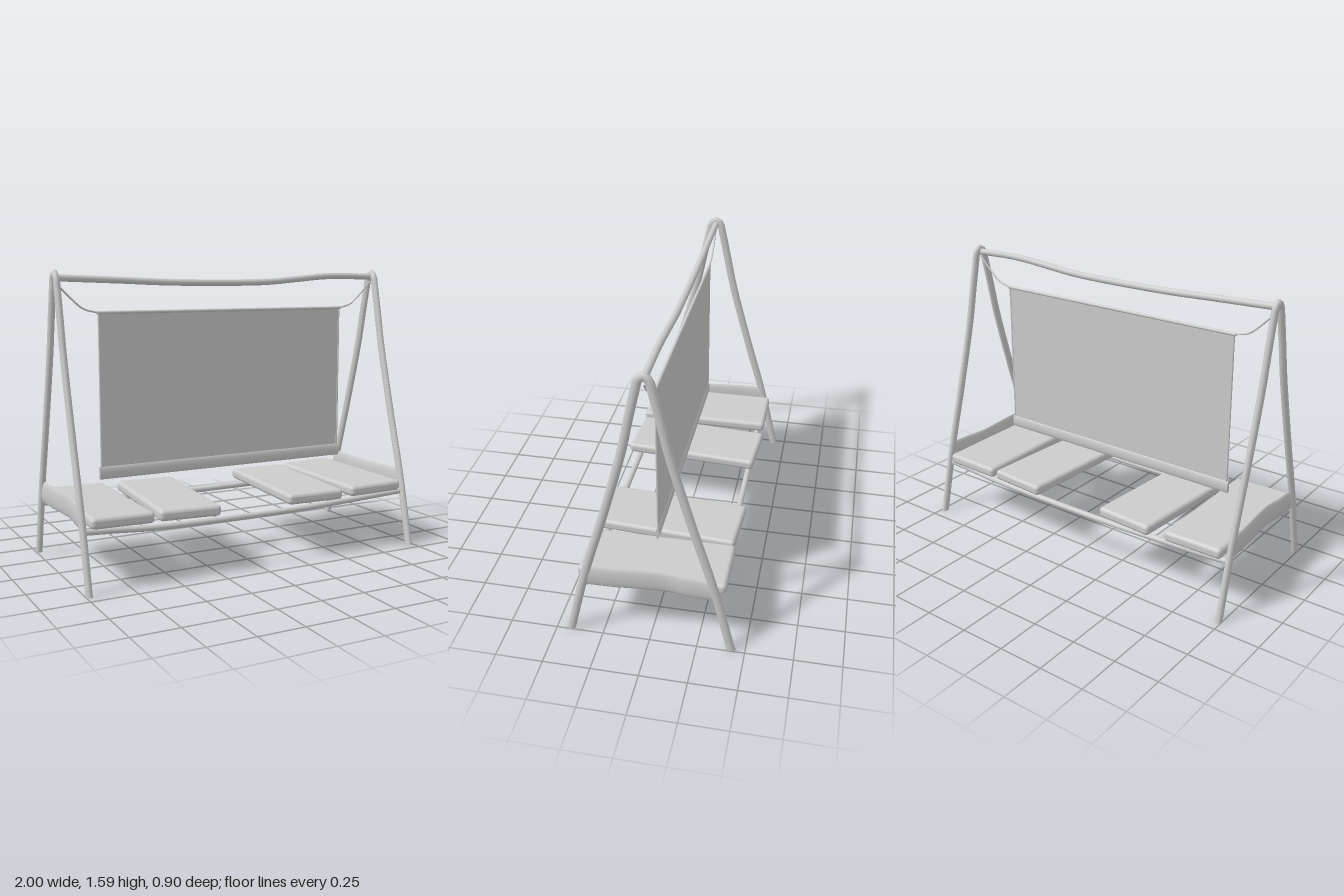
import * as THREE from 'three';
import { RoundedBoxGeometry } from 'three/addons/geometries/RoundedBoxGeometry.js';

export function createModel() {
  const group = new THREE.Group();
  const mat = new THREE.MeshStandardMaterial({ color: 0xcccccc });

  const add = (name, geo, x = 0, y = 0, z = 0) => {
    const mesh = new THREE.Mesh(geo, mat);
    mesh.name = name;
    mesh.position.set(x, y, z);
    group.add(mesh);
    return mesh;
  };
  const curve = (pts) =>
    new THREE.CatmullRomCurve3(pts.map((p) => new THREE.Vector3(...p)), false, 'centripetal');
  const tube = (pts, r, segs = 40, sides = 16) => new THREE.TubeGeometry(curve(pts), segs, r, sides);

  // A-frames: one bent tube each, flattened in x, feet cut level with the floor
  const half = [[0.43, -0.02], [0.328, 0.4], [0.225, 0.75], [0.115, 1.15], [0.072, 1.35],
    [0.038, 1.5], [0.026, 1.546]];
  const framePath = [
    ...half.map(([z, y]) => [0, y, z]),
    [0, 1.567, 0],
    ...half.slice().reverse().map(([z, y]) => [0, y, -z]),
  ];
  for (const s of [-1, 1]) {
    const geo = tube(framePath, 0.0225, 140, 20);
    const pos = geo.attributes.position;
    for (let i = 0; i < pos.count; i++) pos.setY(i, Math.max(0, pos.getY(i)));
    geo.scale(0.78, 1, 1);
    add(s < 0 ? 'rightFrame' : 'leftFrame', geo, s * 0.982);
    for (const f of [-1, 1]) {
      const cap = new THREE.CircleGeometry(0.0225, 20).rotateX(Math.PI / 2).scale(0.78, 1, 1);
      add('footCap', cap, s * 0.982, 0.001, f * 0.425);
    }
  }

  // Slightly bowed top beam
  add('topBeam', tube([[-0.985, 1.548, 0], [-0.65, 1.535, 0], [-0.3, 1.521, 0], [0.25, 1.521, 0],
    [0.45, 1.536, 0], [0.68, 1.553, 0], [0.985, 1.548, 0]], 0.018, 60));

  // Sagging seat rails, the back one turned half round
  for (const s of [1, -1]) {
    add(s > 0 ? 'frontRail' : 'backRail', tube([[-0.98, 0.303, 0], [-0.8, 0.293, 0], [-0.6, 0.28, 0],
      [0.25, 0.275, 0], [0.6, 0.287, 0], [0.98, 0.303, 0]].map(([x, y]) => [x * s, y, 0.342 * s]),
    0.0165, 60));
  }

  // Side bolsters joining the front and back legs, deep and thin, gently waved
  for (const s of [1, -1]) {
    const geo = tube([[-0.976, 0, 0.325], [-0.968, 0, 0.2], [-0.954, 0, 0.09], [-0.962, 0, -0.06],
      [-0.972, 0, -0.18], [-0.976, 0, -0.325]].map(([x, y, z]) => [x * s, y, z * s]), 0.014, 40);
    geo.scale(1, 4.4, 1);
    add(s > 0 ? 'rightBolster' : 'leftBolster', geo, 0, 0.37, 0);
  }

  // Seat cushions: outer pair straight, inner pair turned
  const cushions = [
    [-0.777, 0.346, 0, -0.015], [-0.375, 0.34, -0.075, -0.006],
    [0.389, 0.34, -0.065, 0.006], [0.77, 0.346, 0, 0.015],
  ];
  for (const [x, y, turn, tilt] of cushions) {
    const c = add('seatCushion', new RoundedBoxGeometry(0.342, 0.06, 0.775, 4, 0.022), x, y, 0);
    c.rotation.set(0, turn, tilt);
  }

  // Hanging screen with side hems, top rod and bottom bar
  add('screenPanel', new THREE.BoxGeometry(1.5, 0.84, 0.006), 0, 0.95, 0);
  const rod = (r, len) => new THREE.CylinderGeometry(r, r, len, 20);
  add('screenTopRod', rod(0.009, 1.52).rotateZ(Math.PI / 2), 0, 1.367, 0);
  add('screenBottomBar', rod(0.035, 1.525).rotateZ(Math.PI / 2).scale(1, 1, 0.3), 0, 0.515, 0);
  for (const s of [-1, 1]) {
    add('screenHem', rod(0.006, 0.83), s * 0.75, 0.95, 0);
    // Slack rope from the frame to the top rod
    add('rope', tube([[0.975, 1.52, 0], [0.91, 1.453, 0], [0.835, 1.39, 0], [0.755, 1.367, 0]]
      .map(([x, y, z]) => [x * s, y, z]), 0.005, 24, 8));
  }

  return group;
}
